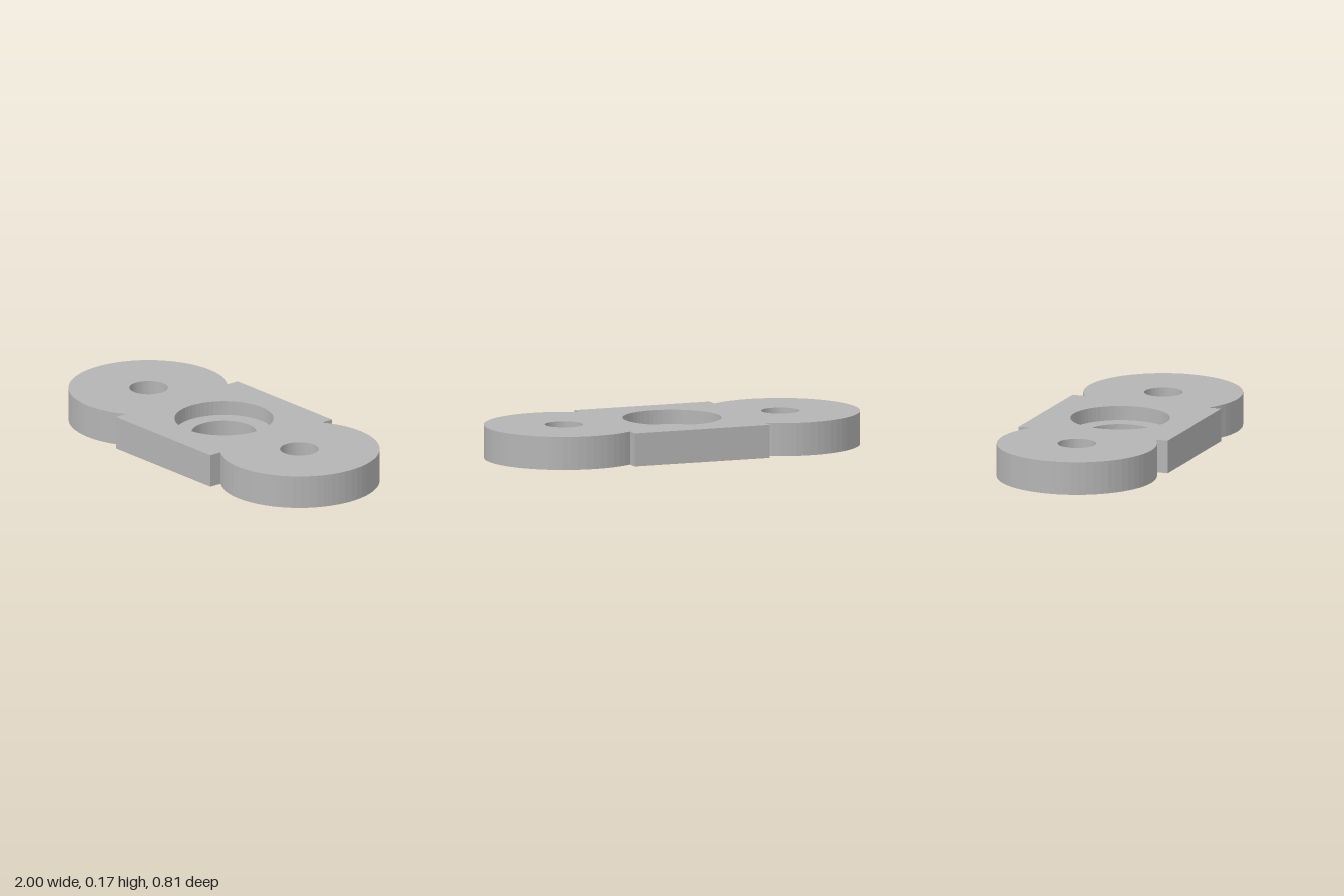
import * as THREE from 'three';

const HEIGHT = 0.17, STEP_Y = 0.096, FLOOR_Y = 0.015;
const END_X = 0.593, END_R = 0.407, BLOCK_X = 0.37;

// Points along an arc in plan, counter-clockwise
function arc(cx, r, from, to, segments) {
  return Array.from({ length: segments + 1 }, (_, i) => {
    const a = from + (to - from) * i / segments;
    return new THREE.Vector2(cx + r * Math.cos(a), r * Math.sin(a));
  });
}
const circle = (cx, r) => arc(cx, r, 0, Math.PI * 2, 64).slice(0, -1);

// Flat horizontal face with holes
function cap(outline, holes, y, up) {
  const shape = new THREE.Shape(outline);
  shape.holes = holes.map(h => new THREE.Path(h));
  return new THREE.ShapeGeometry(shape).rotateX(up ? -Math.PI / 2 : Math.PI / 2).translate(0, y, 0);
}

// Vertical faceted wall along a closed loop; inward for holes
function wall(loop, y0, y1, inward = false) {
  const pts = inward ? [...loop].reverse() : loop;
  const pos = [];
  pts.forEach((a, i) => {
    const b = pts[(i + 1) % pts.length];
    pos.push(a.x, y0, -a.y, b.x, y0, -b.y, b.x, y1, -b.y);
    pos.push(a.x, y0, -a.y, b.x, y1, -b.y, a.x, y1, -a.y);
  });
  const g = new THREE.BufferGeometry();
  g.setAttribute('position', new THREE.Float32BufferAttribute(pos, 3));
  g.computeVertexNormals();
  return g;
}

export function createModel() {
  const group = new THREE.Group();
  group.name = 'mountingPlate';
  const grey = new THREE.MeshStandardMaterial({ color: 0xb4b4b4 });
  grey.name = 'grey';
  const add = (name, geometry) => {
    const mesh = new THREE.Mesh(geometry, grey);
    mesh.name = name;
    group.add(mesh);
  };

  // Outline: two round ends joined by a wider-shouldered block
  const a = Math.PI - Math.acos((END_X - BLOCK_X) / END_R);
  const corner = (x, y) => new THREE.Vector2(x, y);
  const outline = [
    ...arc(END_X, END_R, -a, a, 44),
    corner(BLOCK_X, END_R), corner(-BLOCK_X, END_R),
    ...arc(-END_X, END_R, Math.PI - a, Math.PI + a, 44),
    corner(-BLOCK_X, -END_R), corner(BLOCK_X, -END_R),
  ];

  // Openings: bolt holes, stepped recess, shaft slot with two flats
  const bolts = [-END_X, END_X].map(x => circle(x, 0.098));
  const recess = circle(0, 0.253);
  const pocket = circle(0, 0.167);
  const slot = [
    ...arc(0, 0.037, Math.PI / 3, Math.PI * 2 / 3, 8),
    ...arc(0, 0.037, Math.PI * 4 / 3, Math.PI * 5 / 3, 8),
  ];

  add('outerWall', wall(outline, 0, HEIGHT));
  add('topFace', cap(outline, [...bolts, recess], HEIGHT, true));
  add('bottomFace', cap(outline, [...bolts, slot], 0, false));
  bolts.forEach((b, i) => add(i ? 'leftBoltHole' : 'rightBoltHole', wall(b, 0, HEIGHT, true)));
  add('recessWall', wall(recess, STEP_Y, HEIGHT, true));
  add('recessLedge', cap(recess, [pocket], STEP_Y, true));
  add('pocketWall', wall(pocket, FLOOR_Y, STEP_Y, true));
  add('pocketFloor', cap(pocket, [slot], FLOOR_Y, true));
  add('shaftSlot', wall(slot, 0, FLOOR_Y, true));
  return group;
}
